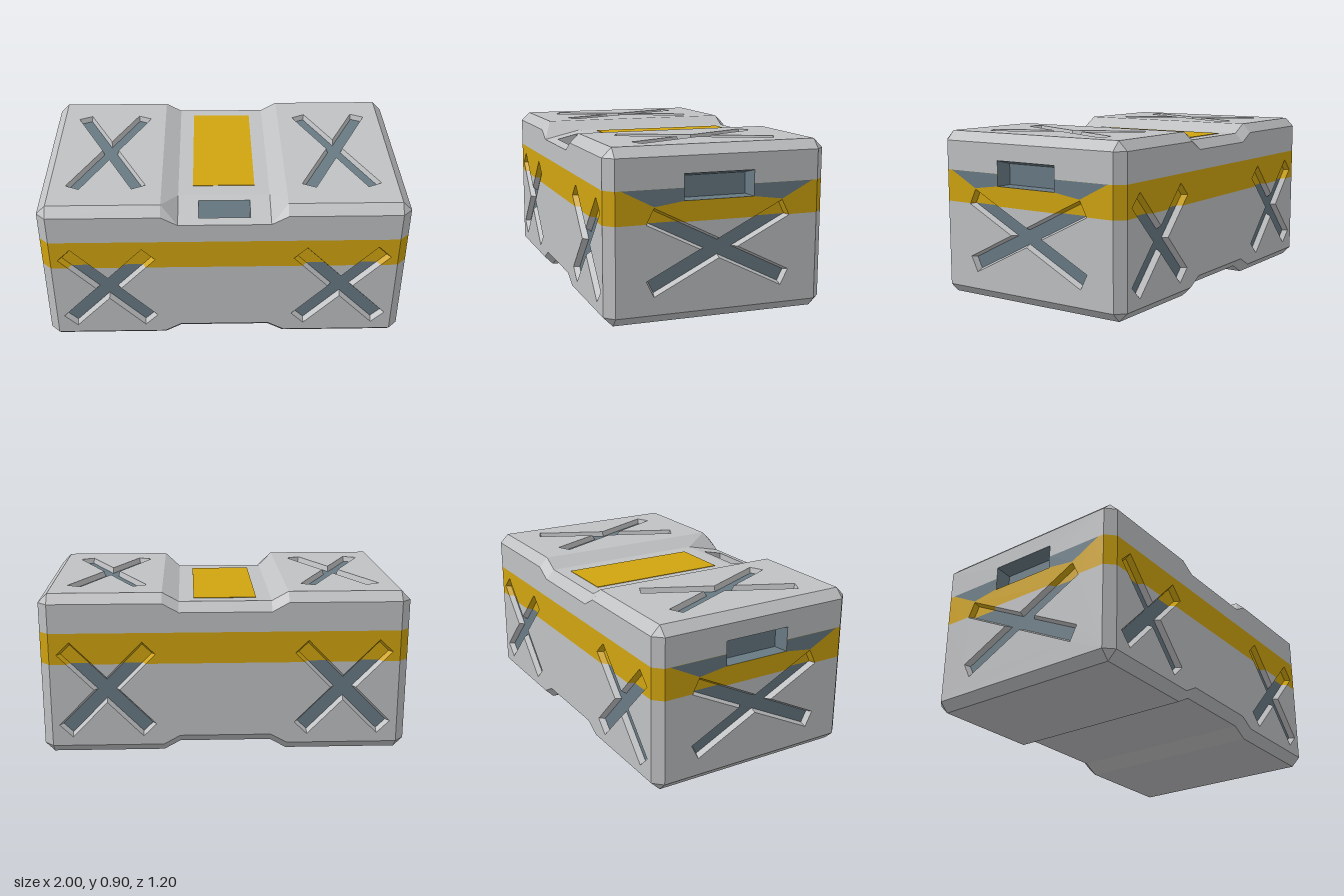
import * as THREE from 'three';

const MATS = [['bodyGrey', 0xc0c1c3], ['recessBlue', 0x687a84], ['bandYellow', 0xd0a410]].map(([name, color]) => {
  const m = new THREE.MeshStandardMaterial({ color });
  m.name = name;
  return m;
});
const GREY = 0, BLUE = 1, YELLOW = 2;
const BAND = [0.517, 0.69]; // height range of the painted band
const V = (x, y, z) => new THREE.Vector3(x, y, z);

// Keep the part of a convex polygon above (sign 1) or below (sign -1) a height
function clip(poly, y, sign) {
  const out = [];
  poly.forEach((p, i) => {
    const q = poly[(i + 1) % poly.length];
    const a = (p.y - y) * sign, b = (q.y - y) * sign;
    if (a >= 0) out.push(p);
    if ((a > 0 && b < 0) || (a < 0 && b > 0)) out.push(p.clone().lerp(q, a / (a - b)));
  });
  return out;
}

// Collects faces for one part, sorted by colour
class Part {
  constructor(name) {
    this.name = name;
    this.bins = [[], [], []];
  }
  fan(poly, color) {
    for (let i = 1; i < poly.length - 1; i++) this.bins[color].push(poly[0], poly[i], poly[i + 1]);
  }
  // Convex polygon turned to face "out"; the band is painted where it crosses
  add(pts, out, color = GREY, banded = true) {
    const n = V(0, 0, 0);
    for (let i = 1; i < pts.length - 1; i++) {
      n.add(pts[i].clone().sub(pts[0]).cross(pts[i + 1].clone().sub(pts[0])));
    }
    const poly = n.dot(out) < 0 ? [...pts].reverse() : pts;
    if (!banded) return this.fan(poly, color);
    this.fan(clip(poly, BAND[0], -1), color);
    this.fan(clip(clip(poly, BAND[0], 1), BAND[1], -1), YELLOW);
    this.fan(clip(poly, BAND[1], 1), color);
  }
  // Flat face with holes, mapped into space by to3D(a, b, depth)
  face(to3D, contour, holes, out, color = GREY, banded = true, depth = 0) {
    const vec = l => l.map(([a, b]) => new THREE.Vector2(a, b));
    const c = vec(contour), h = holes.map(vec);
    if (THREE.ShapeUtils.isClockWise(c)) c.reverse();
    h.forEach(l => { if (!THREE.ShapeUtils.isClockWise(l)) l.reverse(); });
    const all = [c, ...h].flat();
    for (const t of THREE.ShapeUtils.triangulateShape(c, h)) {
      this.add(t.map(i => to3D(all[i].x, all[i].y, depth)), out, color, banded);
    }
  }
  // Sunken pocket: tapered walls from the outer to the inner loop, plus a floor
  pocket(to3D, outer, inner, depth, out, wallColor, floorColor, banded) {
    outer.forEach(([a, b], i) => {
      const j = (i + 1) % outer.length, [c, d] = outer[j];
      const facing = to3D(a - (d - b), b + (c - a), 0).sub(to3D(a, b, 0));
      const quad = [to3D(a, b, 0), to3D(c, d, 0), to3D(...inner[j], depth), to3D(...inner[i], depth)];
      this.add(quad, facing, wallColor(i), banded);
    });
    this.face(to3D, inner, [], out, floorColor, banded, depth);
  }
  mesh() {
    const geo = new THREE.BufferGeometry().setFromPoints(this.bins.flat());
    let start = 0;
    this.bins.forEach((b, i) => {
      if (b.length) geo.addGroup(start, b.length, i);
      start += b.length;
    });
    geo.computeVertexNormals();
    const m = new THREE.Mesh(geo, MATS);
    m.name = this.name;
    return m;
  }
}

// Counter-clockwise outline of an X; (ex, ey) is the middle of an arm end
function cross(cx, cy, ex, ey, hw, inset = 0) {
  const len = Math.hypot(ex, ey), ux = ex / len, uy = ey / len;
  const w = hw - inset, x = ex - ux * inset, y = ey - uy * inset;
  const lo = [x + w * uy, y - w * ux], hi = [x - w * uy, y + w * ux];
  const pts = [[w / uy, 0], lo, hi, [0, w / ux], [-hi[0], hi[1]], [-lo[0], lo[1]],
    [-w / uy, 0], [-lo[0], -lo[1]], [-hi[0], -hi[1]], [0, -w / ux], [hi[0], -hi[1]], [lo[0], -lo[1]]];
  return pts.map(([a, b]) => [a + cx, b + cy]);
}
const rect = (a0, a1, b0, b1) => [[a0, b0], [a1, b0], [a1, b1], [a0, b1]];

export function createModel() {
  const group = new THREE.Group();
  const shell = new Part('caseShell'), crosses = new Part('crossRecesses');
  const handles = new Part('handleRecesses'), slot = new Part('latchSlot');
  const sidePaint = new Part('sidePaint');
  const UP = V(0, 1, 0), DOWN = V(0, -1, 0), grey = () => GREY, blue = () => BLUE;

  // Upper edge of the long faces, dipping in the middle
  const edge = [[-0.95, 0.85], [-0.34, 0.85], [-0.25, 0.8], [0.25, 0.8], [0.34, 0.85], [0.95, 0.85]];
  const outline = [...edge, ...edge.map(([x, y]) => [x, 0.9 - y]).reverse()];

  // Front and back faces
  for (const s of [1, -1]) {
    const map = (a, b, d) => V(a, b, s * (0.6 - d)), out = V(0, 0, s);
    shell.face(map, outline, [-0.645, 0.645].map(x => cross(x, 0.37, 0.23, 0.235, 0.05)), out);
    for (const x of [-0.645, 0.645]) {
      crosses.pocket(map, cross(x, 0.37, 0.23, 0.235, 0.05), cross(x, 0.37, 0.23, 0.235, 0.05, 0.014),
        0.03, out, grey, BLUE, true);
    }
    // Long bevels, with the front top bevel left open at the dip
    for (let i = 0; i < 5; i++) {
      const [x0, y0] = edge[i], [x1, y1] = edge[i + 1];
      shell.add([V(x0, 0.9 - y0, s * 0.6), V(x1, 0.9 - y1, s * 0.6),
        V(x1, 0.85 - y1, s * 0.55), V(x0, 0.85 - y0, s * 0.55)], V(0, -1, s));
      if (s === 1 && i > 0 && i < 4) continue;
      shell.add([V(x0, y0, s * 0.6), V(x1, y1, s * 0.6),
        V(x1, y1 + 0.05, s * 0.55), V(x0, y0 + 0.05, s * 0.55)], V(0, 1, s));
    }
  }

  // Underside strips
  for (let i = 0; i < 5; i++) {
    const [x0, y0] = edge[i], [x1, y1] = edge[i + 1];
    shell.add([V(x0, 0.85 - y0, -0.55), V(x1, 0.85 - y1, -0.55),
      V(x1, 0.85 - y1, 0.55), V(x0, 0.85 - y0, 0.55)], DOWN);
  }

  // Channel floor and its sloping front lip with a slot
  shell.add([V(-0.25, 0.85, -0.55), V(0.25, 0.85, -0.55), V(0.25, 0.85, 0.39), V(-0.25, 0.85, 0.39)], UP);
  const lip = (a, b, d) => V(a, 0.85 - (b - 0.39) * 0.05 / 0.21 - d, b);
  const slotHole = rect(-0.14, 0.14, 0.43, 0.55);
  shell.face(lip, rect(-0.25, 0.25, 0.39, 0.6), [slotHole], UP);
  slot.pocket(lip, slotHole, rect(-0.14, 0.14, 0.5, 0.55), 0.09, UP, i => (i === 0 ? BLUE : GREY), YELLOW, false);

  for (const s of [1, -1]) {
    // Raised lid panel with a cross
    const top = (a, b, d) => V(a, 0.9 - d, b);
    const topCross = inset => cross(s * 0.645, 0, 0.18, 0.38, 0.0415, inset);
    shell.face(top, rect(Math.min(s * 0.34, s * 0.95), Math.max(s * 0.34, s * 0.95), -0.55, 0.55), [topCross(0)], UP);
    crosses.pocket(top, topCross(0), topCross(0.008), 0.03, UP, grey, BLUE, false);

    // Channel side slope and its front corner
    const a = V(s * 0.34, 0.9, 0.55), b = V(s * 0.25, 0.85, 0.39);
    const c = V(s * 0.34, 0.85, 0.6), d = V(s * 0.25, 0.8, 0.6);
    shell.add([V(s * 0.25, 0.85, -0.55), V(s * 0.34, 0.9, -0.55), a, b], UP);
    shell.add([a, b, d], V(-s, 1, 1));
    shell.add([a, d, c], V(-s, 1, 1));

    // End face with cross and hand hold
    const map = (p, q, e) => V(s * (1 - e), q, p), out = V(s, 0, 0);
    const endCross = inset => cross(0, 0.37, 0.37, 0.185, 0.046, inset);
    const hold = rect(-0.19, 0.19, 0.624, 0.76);
    shell.face(map, rect(-0.55, 0.55, 0.05, 0.85), [endCross(0), hold], out);
    crosses.pocket(map, endCross(0), endCross(0.012), 0.03, out, grey, BLUE, true);
    handles.pocket(map, hold, rect(-0.175, 0.175, 0.626, 0.738), 0.08, out, blue, BLUE, false);

    for (const t of [1, -1]) {
      // Painted wedge beside the hand hold
      sidePaint.face(map, [[t * 0.52, 0.69], [t * 0.35, 0.602], [t * 0.19, 0.624], [t * 0.19, 0.69]],
        [], out, BLUE, false, -0.002);
      // Upright corner bevel
      shell.add([V(s * 0.95, 0.05, t * 0.6), V(s, 0.05, t * 0.55), V(s, 0.85, t * 0.55), V(s * 0.95, 0.85, t * 0.6)],
        V(s, 0, t));
      // End bevel and corner triangles, above (t = 1) and below (t = -1)
      const yIn = 0.45 + t * 0.4, yOut = 0.45 + t * 0.45;
      shell.add([V(s, yIn, -0.55), V(s, yIn, 0.55), V(s * 0.95, yOut, 0.55), V(s * 0.95, yOut, -0.55)], V(s, t, 0));
      for (const u of [1, -1]) {
        shell.add([V(s, yIn, u * 0.55), V(s * 0.95, yIn, u * 0.6), V(s * 0.95, yOut, u * 0.55)], V(s, t, u));
      }
    }
  }
  for (const p of [shell, crosses, handles, slot, sidePaint]) group.add(p.mesh());

  // Painted panel on the channel floor
  const panel = new THREE.Mesh(new THREE.BoxGeometry(0.34, 0.006, 0.78), MATS[YELLOW]);
  panel.name = 'topPanel';
  panel.position.set(0, 0.85, -0.09);
  group.add(panel);
  return group;
}
